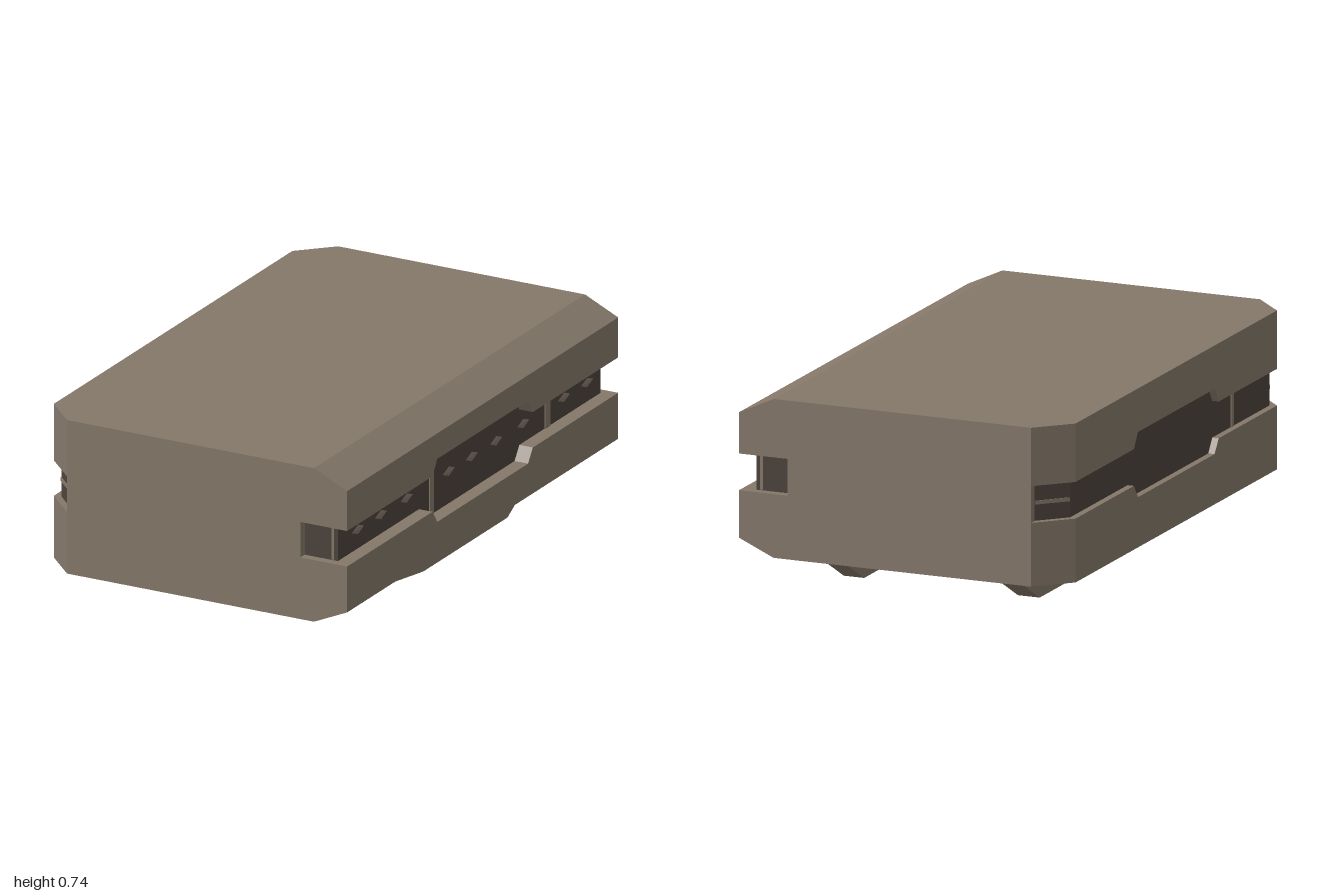
import * as THREE from 'three';

const hull = new THREE.MeshStandardMaterial({ color: 0x85786a });
hull.name = 'taupe';
const dark = new THREE.MeshStandardMaterial({ color: 0x4d433c });
dark.name = 'dark brown';
const grey = new THREE.MeshStandardMaterial({ color: 0x969696 });
grey.name = 'grey';

function add(parent, name, geometry, material) {
  const mesh = new THREE.Mesh(geometry, material);
  mesh.name = name;
  parent.add(mesh);
  return mesh;
}

// Plan outline [x, z]: two cut corners on -x, optional notch of half length n in both long sides
function plan(xR, n = 0) {
  const right = n ? [[xR, n], [0.55, n], [0.55, -n], [xR, -n]] : [];
  const left = n ? [[-0.63, -n], [-0.58, -n], [-0.58, n], [-0.63, n]] : [];
  return [[xR, 1], ...right, [xR, -1], [-0.51, -1], [-0.63, -0.88], ...left, [-0.63, 0.88], [-0.51, 1]];
}

// Closed solid between two plan outlines, flat shaded
function solid(y0, low, y1, high) {
  const pos = [];
  const put = (ring, y, i) => pos.push(ring[i][0], y, ring[i][1]);
  low.forEach((_, i) => {
    const j = (i + 1) % low.length;
    put(low, y0, i); put(low, y0, j); put(high, y1, j);
    put(low, y0, i); put(high, y1, j); put(high, y1, i);
  });
  for (const [ring, y, up] of [[low, y0, false], [high, y1, true]]) {
    const faces = THREE.ShapeUtils.triangulateShape(ring.map(([x, z]) => new THREE.Vector2(x, -z)), []);
    for (const [a, b, c] of faces) (up ? [a, b, c] : [c, b, a]).forEach((k) => put(ring, y, k));
  }
  const g = new THREE.BufferGeometry();
  g.setAttribute('position', new THREE.Float32BufferAttribute(pos, 3));
  g.computeVertexNormals();
  return g;
}

// Side profile [z, y] extruded across x
function acrossX(profile, x0, x1) {
  const shape = new THREE.Shape(profile.map(([z, y]) => new THREE.Vector2(-z, y)));
  return new THREE.ExtrudeGeometry(shape, { depth: x1 - x0, bevelEnabled: false })
    .rotateY(Math.PI / 2).translate(x0, 0, 0);
}

export function createModel() {
  const model = new THREE.Group();
  model.name = 'armoredBox';

  // Lower and upper shells, with the widened part of the side grooves
  const layers = [
    ['lowerBevel', 0.15, plan(0.495), 0.21, plan(0.63)],
    ['lowerShell', 0.21, plan(0.63), 0.335, plan(0.63)],
    ['lowerLip', 0.335, plan(0.63, 0.335), 0.385, plan(0.63, 0.37)],
    ['upperLip', 0.52, plan(0.63, 0.37), 0.575, plan(0.63, 0.335)],
    ['upperShell', 0.575, plan(0.63), 0.672, plan(0.63)],
    ['upperBevel', 0.672, plan(0.63), 0.735, plan(0.495)],
  ];
  for (const [name, y0, low, y1, high] of layers) add(model, name, solid(y0, low, y1, high), hull);

  // Middle block reaching the end faces
  add(model, 'middleBlock', new THREE.BoxGeometry(0.95, 0.135, 2).translate(-0.035, 0.4525, 0), hull);

  // Dark recessed core seen in the grooves
  const core = [[0.575, 0.968], [0.575, -0.968], [-0.51, -0.968], [-0.605, -0.87], [-0.605, 0.87], [-0.51, 0.968]];
  add(model, 'grooveCore', solid(0.32, core, 0.59, core), dark);

  // Small fittings on the groove faces
  const plate = (name, x, y, z, w, h, d) =>
    add(model, name, new THREE.BoxGeometry(w, h, d).translate(x, y, z), hull);
  plate('wideSlit', 0.575, 0.455, 0.28, 0.008, 0.24, 0.03);
  plate('narrowSlit', 0.575, 0.4525, -0.575, 0.008, 0.135, 0.035);
  plate('leftSlit', -0.605, 0.4525, 0.54, 0.008, 0.135, 0.02);
  for (const s of [-1, 1]) {
    plate('endSlit', 0.555, 0.4525, s * 0.968, 0.01, 0.13, 0.006);
    const strip = plate('cornerStrip', 0, 0, 0, 0.13, 0.014, 0.006);
    strip.position.set(-0.5575, 0.452, s * 0.919);
    strip.rotation.y = -s * Math.PI / 4;
  }
  for (const z of [0.82, 0.65, 0.46, 0.15, -0.02, -0.2, -0.4, -0.7, -0.87]) {
    const chip = add(model, 'grooveChip', new THREE.OctahedronGeometry(1), hull);
    chip.scale.set(0.004, 0.018, 0.045);
    chip.position.set(0.575, 0.457, z);
  }

  // Skid rails under the body
  const rail = [[0.86, 0.16], [0.86, 0.121], [0.02, 0], [-0.6, 0], [-0.8, 0.11], [-0.86, 0.122], [-0.86, 0.16]];
  add(model, 'rightRail', acrossX(rail, -0.365, -0.28), hull);
  add(model, 'leftRail', acrossX(rail, 0.32, 0.4), hull);

  // Sloped cross bars between the rails, narrowing downward
  const bars = {
    frontBar: [[0.885, 0.15], [0.885, 0.123], [0.73, 0.085], [0.7, 0.15]],
    rearBar: [[-0.86, 0.15], [-0.7, 0.15], [-0.72, 0.087], [-0.86, 0.123]],
  };
  for (const [name, profile] of Object.entries(bars)) {
    const g = acrossX(profile, -0.285, 0.318);
    const p = g.attributes.position;
    for (let i = 0; i < p.count; i++) {
      if (p.getY(i) < 0.14) p.setX(i, p.getX(i) < 0 ? -0.266 : 0.28);
    }
    g.computeVertexNormals();
    add(model, name, g, hull);
  }

  // Tubes lying lengthwise between the rails
  for (const [x, y, r] of [[-0.13, 0.22, 0.13], [0.02, 0.155, 0.05], [0.17, 0.22, 0.13]]) {
    add(model, 'tube', new THREE.CylinderGeometry(r, r, 1.45, 32).rotateX(Math.PI / 2).translate(x, y, 0.01), grey);
  }
  return model;
}
